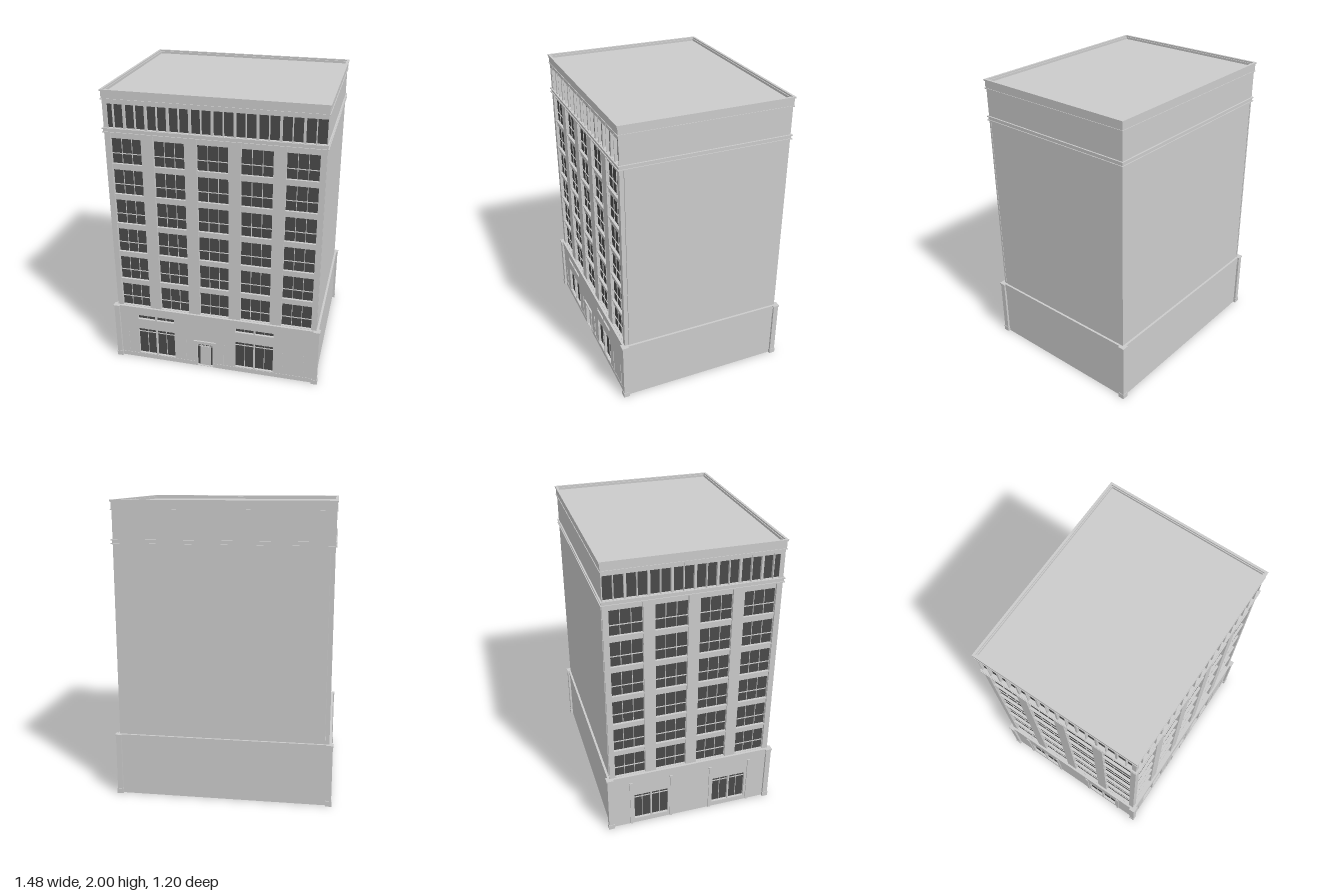
import * as THREE from 'three';

const stone = new THREE.MeshStandardMaterial({ color: 0xcccccc });
const glass = new THREE.MeshStandardMaterial({ color: 0x4a4a4a });

function box(parent, name, x0, x1, y0, y1, z0, z1, mat = stone) {
  const m = new THREE.Mesh(new THREE.BoxGeometry(x1 - x0, y1 - y0, z1 - z0), mat);
  m.position.set((x0 + x1) / 2, (y0 + y1) / 2, (z0 + z1) / 2);
  m.name = name;
  parent.add(m);
}

// Wall sheet with rectangular openings [x0, x1, y0, y1]
function sheet(parent, name, hw, y0, y1, z0, z1, holes) {
  const rect = (P, a, b, c, d) => {
    const p = new P();
    p.moveTo(a, c);
    p.lineTo(b, c);
    p.lineTo(b, d);
    p.lineTo(a, d);
    p.closePath();
    return p;
  };
  const s = rect(THREE.Shape, -hw, hw, y0, y1);
  s.holes = holes.map(h => rect(THREE.Path, ...h));
  const m = new THREE.Mesh(new THREE.ExtrudeGeometry(s, { depth: z1 - z0, bevelEnabled: false }), stone);
  m.position.z = z0;
  m.name = name;
  parent.add(m);
}

// Dark pane with glazing bars: vertical bars by count, horizontal bars by height fraction
function windowPane(parent, [x0, x1, y0, y1], z, bars, rails) {
  const g = new THREE.Group();
  g.name = 'window';
  box(g, 'glass', x0, x1, y0, y1, z - 0.004, z, glass);
  for (let i = 1; i <= bars; i++) {
    const x = x0 + (x1 - x0) * i / (bars + 1);
    box(g, 'verticalBar', x - 0.0018, x + 0.0018, y0, y1, z, z + 0.004);
  }
  for (const r of rails) {
    const y = y0 + (y1 - y0) * r;
    box(g, 'horizontalBar', x0, x1, y - 0.0025, y + 0.0025, z, z + 0.005);
  }
  parent.add(g);
}

// Upper storeys of a windowed face whose outer surface is at z = d
function upperFacade(name, hw, d, bays, bayWidth, attic) {
  const g = new THREE.Group();
  g.name = name;
  const cols = [], wins = [], top = [];
  for (let i = 0; i < bays; i++) {
    const c = (i - (bays - 1) / 2) * 0.285;
    const x0 = c - bayWidth / 2, x1 = c + bayWidth / 2;
    cols.push([x0, x1, 0.43, 1.715]);
    for (let r = 0; r < 6; r++) {
      const y = 0.432 + r * 0.2153;
      wins.push([x0 + 0.001, x1 - 0.001, y, y + 0.172]);
      box(g, 'sill', x0, x1, y - 0.01, y, d - 0.02, d - 0.004);
    }
  }
  for (let i = 0; i < attic; i++) {
    const c = (i - (attic - 1) / 2) * 0.1428;
    top.push([c - 0.064, c + 0.064, 1.752, 1.91]);
    box(g, 'atticMullion', c - 0.0025, c + 0.0025, 1.75, 1.935, d - 0.022, d + 0.003);
  }
  sheet(g, 'piers', hw, 0.42, 1.75, d - 0.012, d, cols);
  sheet(g, 'spandrels', hw - 0.003, 0.42, 1.75, d - 0.028, d - 0.012, wins);
  sheet(g, 'atticWall', hw, 1.75, 1.95, d - 0.03, d, top);
  wins.forEach(w => windowPane(g, w, d - 0.022, 2, [0.4]));
  top.forEach(w => windowPane(g, w, d - 0.018, 0, []));
  return g;
}

export function createModel() {
  const model = new THREE.Group();

  // Solid body behind the windowed faces
  box(model, 'baseCore', -0.69, 0.718, 0, 0.425, -0.578, 0.55);
  box(model, 'towerCore', -0.68, 0.71, 0.42, 1.96, -0.57, 0.54);

  // Windowed faces of the tower
  model.add(upperFacade('frontFacade', 0.71, 0.57, 5, 0.205, 10));
  const side = upperFacade('sideFacade', 0.57, 0.71, 4, 0.21, 8);
  side.rotation.y = -Math.PI / 2;
  model.add(side);

  // Ground floor, front
  const front = new THREE.Group();
  front.name = 'frontGroundFloor';
  model.add(front);
  const shops = [], transoms = [];
  for (const x of [-0.565, -0.425, 0.15, 0.29]) {
    shops.push([x, x + 0.13, 0.037, 0.25]);
    transoms.push([x, x + 0.13, 0.33, 0.362]);
  }
  const doorway = [-0.13, -0.012, 0.002, 0.19];
  sheet(front, 'frontBaseWall', 0.718, 0, 0.425, 0.55, 0.578, [...shops, ...transoms, doorway]);
  shops.forEach(w => windowPane(front, w, 0.56, 1, [0.85]));
  transoms.forEach(w => windowPane(front, w, 0.56, 1, []));
  for (const x of [-0.64, -0.21, 0.065, 0.075, 0.49, 0.635])
    box(front, 'wallStrip', x - 0.002, x + 0.002, 0.037, 0.21, 0.57, 0.581);
  box(front, 'plinth', -0.7, -0.135, 0, 0.033, 0.57, 0.58);
  box(front, 'plinth', -0.007, 0.7, 0, 0.033, 0.57, 0.58);

  // Entrance
  const door = new THREE.Group();
  door.name = 'entrance';
  front.add(door);
  windowPane(door, doorway, 0.56, 3, [0.86]);
  box(door, 'doorLeaf', -0.109, -0.033, 0.002, 0.16, 0.556, 0.566);
  for (const x of [-0.135, -0.014])
    box(door, 'doorJamb', x, x + 0.007, 0, 0.2, 0.56, 0.583);
  box(door, 'doorLintel', -0.143, 0.001, 0.19, 0.206, 0.56, 0.584);
  box(door, 'doorHood', -0.154, 0.01, 0.206, 0.216, 0.56, 0.589);

  // Ground floor, windowed side
  const flank = new THREE.Group();
  flank.name = 'sideGroundFloor';
  flank.rotation.y = -Math.PI / 2;
  model.add(flank);
  const flankShops = [];
  for (const c of [-0.285, 0.285])
    for (const s of [-1, 1]) {
      const x = c + s * 0.063;
      flankShops.push([x - 0.058, x + 0.058, 0.037, 0.25]);
    }
  sheet(flank, 'sideBaseWall', 0.578, 0, 0.425, 0.69, 0.718, flankShops);
  flankShops.forEach(w => windowPane(flank, w, 0.7, 1, [0.85]));
  for (const z of [-0.43, -0.143, 0.143, 0.43]) {
    box(flank, 'pilaster', z - 0.008, z + 0.008, 0, 0.365, 0.71, 0.725);
    box(flank, 'pilasterCap', z - 0.011, z + 0.011, 0.35, 0.365, 0.71, 0.728);
  }

  // Bands running round the building: [name, half x, half z, bottom, top]
  for (const [name, hx, hz, y0, y1] of [
    ['baseFrieze', 0.721, 0.581, 0.365, 0.42],
    ['baseCornice', 0.725, 0.585, 0.42, 0.43],
    ['upperBand', 0.714, 0.574, 1.725, 1.745],
    ['upperBandFoot', 0.72, 0.58, 1.72, 1.726],
    ['upperBandCap', 0.72, 0.58, 1.744, 1.751],
    ['parapetFoot', 0.718, 0.578, 1.936, 1.943],
    ['parapet', 0.714, 0.574, 1.94, 1.99],
    ['parapetCoping', 0.72, 0.58, 1.99, 2],
  ]) {
    const t = 0.016;
    const band = new THREE.Group();
    band.name = name;
    for (const s of [-1, 1]) {
      const x = s * (hx - t / 2), z = s * (hz - t / 2);
      box(band, name + 'Long', -hx, hx, y0, y1, z - t / 2, z + t / 2);
      box(band, name + 'Short', x - t / 2, x + t / 2, y0, y1, -hz + t, hz - t);
    }
    model.add(band);
  }
  box(model, 'roof', -0.706, 0.706, 1.95, 1.975, -0.566, 0.566);

  // Corner posts of the base
  for (const sx of [-1, 1])
    for (const sz of [-1, 1]) {
      const post = new THREE.Group();
      post.name = 'cornerPost';
      for (const [n, r, y0, y1] of [['postFoot', 0.021, 0, 0.035], ['postShaft', 0.018, 0.035, 0.42], ['postCap', 0.023, 0.42, 0.43]])
        box(post, n, -r, r, y0, y1, -r, r);
      post.position.set(sx * 0.715, 0, sz * 0.575);
      model.add(post);
    }
  return model;
}
